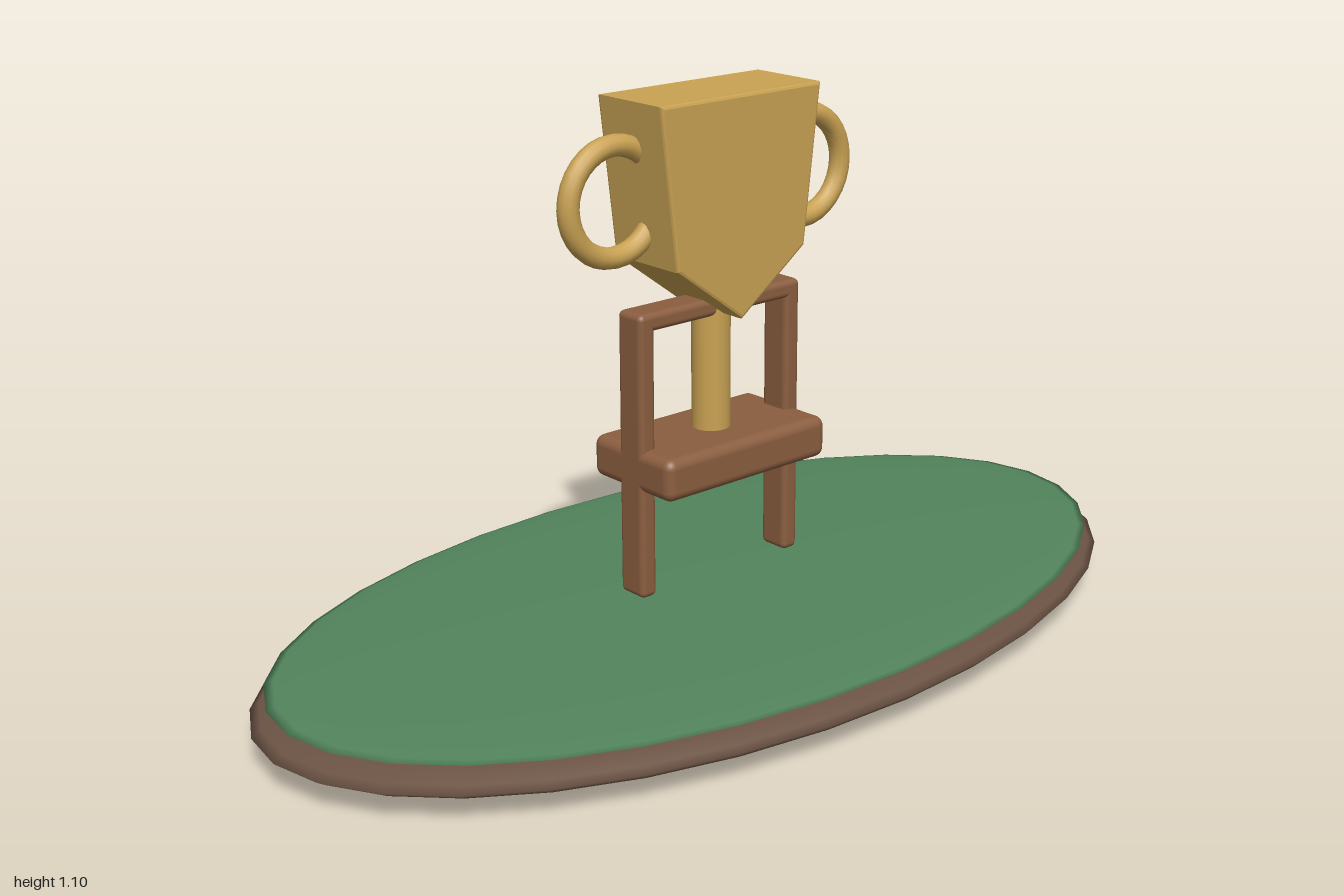
import * as THREE from 'three';
import { RoundedBoxGeometry } from 'three/addons/geometries/RoundedBoxGeometry.js';

function material(name, color) {
  const m = new THREE.MeshStandardMaterial({ color });
  m.name = name;
  return m;
}

export function createModel() {
  const gold = material('gold', 0xc9a253);
  const wood = material('wood', 0x8b5e40);
  const green = material('green', 0x52845c);
  const earth = material('earth', 0x6b5344);
  const model = new THREE.Group();

  function add(name, geometry, mat, x = 0, y = 0, z = 0) {
    const mesh = new THREE.Mesh(geometry, mat);
    mesh.name = name;
    mesh.position.set(x, y, z);
    model.add(mesh);
    return mesh;
  }
  const box = (w, h, d, r) => new RoundedBoxGeometry(w, h, d, 3, r);

  // Oval ground: two flattened spheres
  add('groundBase', new THREE.SphereGeometry(1, 32, 16), earth, 0, 0.06).scale.set(1, 0.06, 0.545);
  add('grassTop', new THREE.SphereGeometry(1, 32, 16), green, 0, 0.104).scale.set(0.97, 0.018, 0.528);

  // Wooden stand
  add('seat', box(0.41, 0.084, 0.226, 0.02), wood, 0, 0.398);
  add('topRail', box(0.41, 0.036, 0.068, 0.012), wood, 0, 0.687);
  for (const side of [-1, 1]) {
    const name = side > 0 ? 'left' : 'right';
    add(name + 'Post', box(0.038, 0.565, 0.068, 0.012), wood, side * 0.186, 0.4225);

    // Cup handles, the inner side buried in the cup
    const handle = add(name + 'Handle', new THREE.TorusGeometry(0.104, 0.021, 12, 32), gold, side * 0.237, 0.92);
    if (side < 0) handle.rotation.y = Math.PI;
  }

  // Cup stem
  add('stem', new THREE.CylinderGeometry(0.038, 0.038, 0.28, 24), gold, 0, 0.57);

  // Cup body: tapered prism with a pointed underside and a fine bevel
  const bevel = 0.006;
  const outline = new THREE.Shape([
    [0, 0.673], [0.16, 0.79], [0.198, 1.1], [-0.198, 1.1], [-0.16, 0.79],
  ].map(([x, y]) => new THREE.Vector2(x, y)));
  const cup = new THREE.ExtrudeGeometry(outline, {
    depth: 0.18 - 2 * bevel, bevelEnabled: true, bevelThickness: bevel,
    bevelSize: bevel, bevelOffset: -bevel, bevelSegments: 2,
  });
  add('cup', cup, gold, 0, 0, -0.09 + bevel);

  return model;
}
